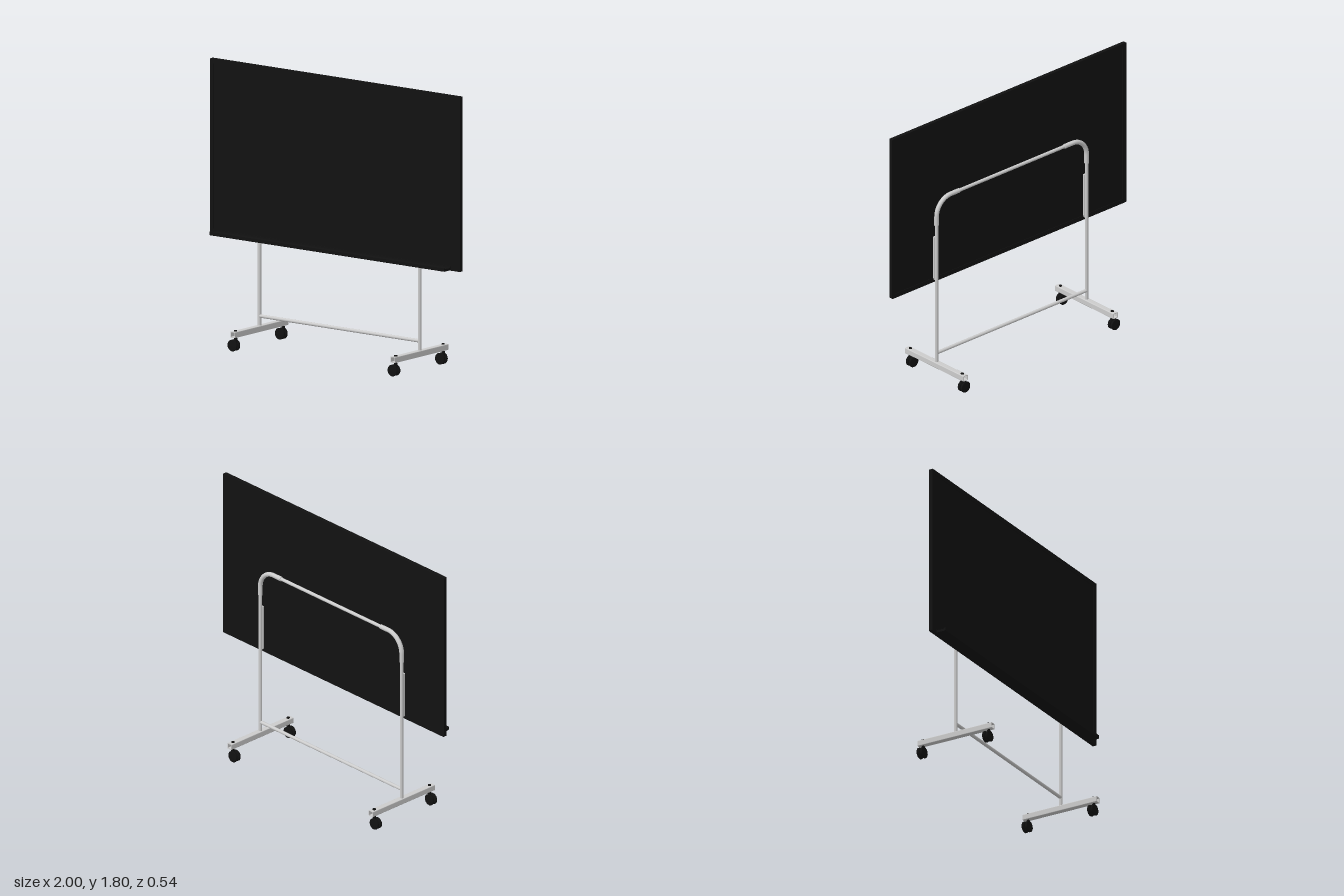
import * as THREE from 'three';

const grey = new THREE.MeshStandardMaterial({ color: 0xcccccc });
const black = new THREE.MeshStandardMaterial({ color: 0x111111 });
const POST_X = 0.64, TUBE_Z = -0.002;

export function createModel() {
  const model = new THREE.Group();

  const add = (name, geometry, material, x = 0, y = 0, z = 0, parent = model) => {
    const mesh = new THREE.Mesh(geometry, material);
    mesh.name = name;
    mesh.position.set(x, y, z);
    parent.add(mesh);
    return mesh;
  };
  const box = (name, w, h, d, mat, x, y, z) => add(name, new THREE.BoxGeometry(w, h, d), mat, x, y, z);
  const rod = (name, r, len, mat, x, y, z, parent) =>
    add(name, new THREE.CylinderGeometry(r, r, len, 24), mat, x, y, z, parent);

  const rectangle = (Type, w, h, r) => {
    const p = new Type(), a = w / 2, b = h / 2;
    p.moveTo(-a + r, -b);
    p.lineTo(a - r, -b); p.quadraticCurveTo(a, -b, a, -b + r);
    p.lineTo(a, b - r); p.quadraticCurveTo(a, b, a - r, b);
    p.lineTo(-a + r, b); p.quadraticCurveTo(-a, b, -a, b - r);
    p.lineTo(-a, -b + r); p.quadraticCurveTo(-a, -b, -a + r, -b);
    return p;
  };
  const extrude = (shape, depth) =>
    new THREE.ExtrudeGeometry(shape, { depth, bevelEnabled: false, curveSegments: 4 });

  // Board: a rim around a slightly recessed writing panel
  const rim = rectangle(THREE.Shape, 2, 1.12, 0.006);
  rim.holes.push(rectangle(THREE.Path, 1.94, 1.06, 0.003));
  add('boardFrame', extrude(rim, 0.025), black, 0, 1.24, 0.019);
  box('boardPanel', 1.945, 1.065, 0.018, black, 0, 1.24, 0.031);

  // Pen tray: shallow channel section with raised ribs, swept along x
  const section = new THREE.Shape();
  [[0.042, 0.682], [0.105, 0.682], [0.109, 0.686], [0.109, 0.705], [0.104, 0.707], [0.101, 0.698],
    [0.084, 0.697], [0.082, 0.701], [0.079, 0.697], [0.065, 0.697], [0.063, 0.701], [0.06, 0.697],
    [0.048, 0.698], [0.046, 0.707], [0.042, 0.707]]
    .forEach(([z, y], i) => (i ? section.lineTo(-z, y) : section.moveTo(-z, y)));
  const tray = add('penTray', extrude(section, 1.875), black, -0.953, 0, 0);
  tray.rotation.y = Math.PI / 2;

  // Straight rails between the two sides
  rod('topRail', 0.011, 0.94, grey, 0, 1.265, TUBE_Z).rotation.z = Math.PI / 2;
  rod('lowerRail', 0.011, 2 * POST_X, grey, 0, 0.188, TUBE_Z).rotation.z = Math.PI / 2;

  // Twin-wheel profile, rounded at the outer edge
  const wheelGeometry = new THREE.LatheGeometry(
    [[0, -0.009], [0.028, -0.009], [0.034, -0.006], [0.037, -0.001], [0.037, 0.006], [0.034, 0.009], [0, 0.009]]
      .map(([r, h]) => new THREE.Vector2(r, h)), 28);

  for (const side of [-1, 1]) {
    const x = side * POST_X;
    rod('post', 0.0115, 0.98, grey, x, 0.61, TUBE_Z);
    box('boardBracket', 0.018, 0.3, 0.014, grey, x, 0.85, 0.013);

    // Thicker sleeved corner bend
    const bend = new THREE.CurvePath();
    const v = (px, py) => new THREE.Vector3(side * px, py, TUBE_Z);
    bend.add(new THREE.LineCurve3(v(0.64, 1.085), v(0.64, 1.145)));
    bend.add(new THREE.CubicBezierCurve3(v(0.64, 1.145), v(0.64, 1.211), v(0.586, 1.265), v(0.52, 1.265)));
    bend.add(new THREE.LineCurve3(v(0.52, 1.265), v(0.45, 1.265)));
    add('cornerBend', new THREE.TubeGeometry(bend, 40, 0.015, 20), grey);
    const ring = new THREE.RingGeometry(0.009, 0.015, 20);
    add('bendLowerRim', ring, grey, x, 1.085, TUBE_Z).rotation.x = Math.PI / 2;
    add('bendInnerRim', ring, grey, side * 0.45, 1.265, TUBE_Z).rotation.y = -side * Math.PI / 2;

    // Hollow box-section foot
    const foot = rectangle(THREE.Shape, 0.038, 0.038, 0.005);
    foot.holes.push(rectangle(THREE.Path, 0.03, 0.03, 0.003));
    add('foot', extrude(foot, 0.54), grey, x, 0.109, -0.27);

    // Casters with a stem through the foot and trailing twin wheels
    for (const z of [-0.24, 0.24]) {
      const caster = new THREE.Group();
      caster.name = 'caster';
      caster.position.set(x, 0, z);
      model.add(caster);
      rod('stem', 0.007, 0.085, black, 0, 0.0925, 0, caster);
      rod('stemNut', 0.01, 0.006, black, 0, 0.131, 0, caster);
      rod('collar', 0.011, 0.03, black, 0, 0.07, 0, caster);
      rod('axle', 0.022, 0.014, black, -0.014, 0.037, 0, caster).rotation.x = Math.PI / 2;
      for (const s of [-1, 1]) {
        add('wheel', wheelGeometry, black, -0.014, 0.037, s * 0.012, caster).rotation.x = s * Math.PI / 2;
      }
    }
  }
  return model;
}
